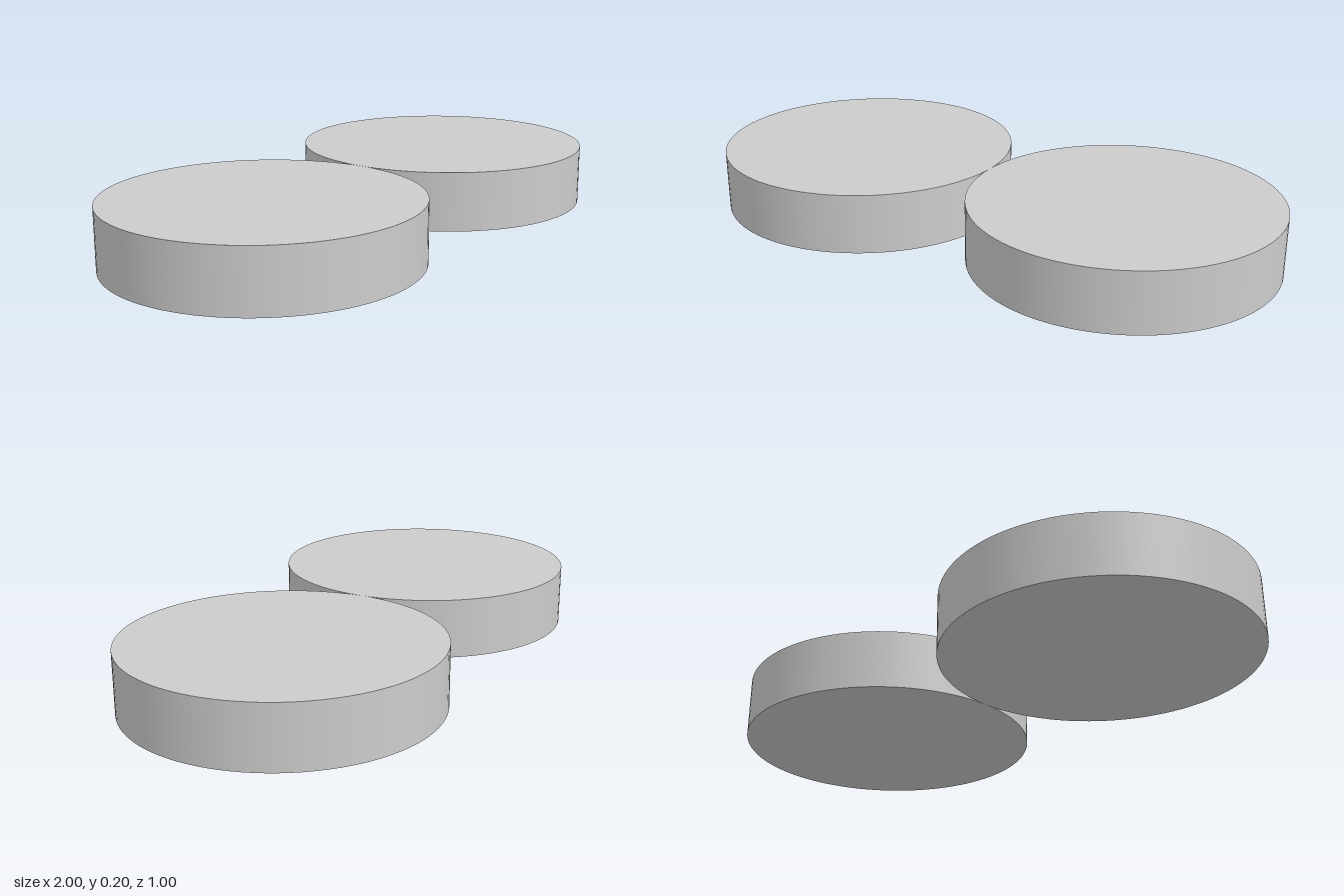
import * as THREE from 'three';

const RADIUS = 0.5;
const HEIGHT = 0.2;

export function createModel() {
  const model = new THREE.Group();
  model.name = 'twinDiscs';

  const material = new THREE.MeshStandardMaterial({ color: 0xcccccc });
  const geometry = new THREE.CylinderGeometry(RADIUS, RADIUS, HEIGHT, 96);

  // Two equal discs side by side, touching at the centre
  for (const [name, side] of [['leftDisc', 1], ['rightDisc', -1]]) {
    const disc = new THREE.Mesh(geometry, material);
    disc.name = name;
    disc.position.set(side * RADIUS, HEIGHT / 2, 0);
    model.add(disc);
  }

  return model;
}
